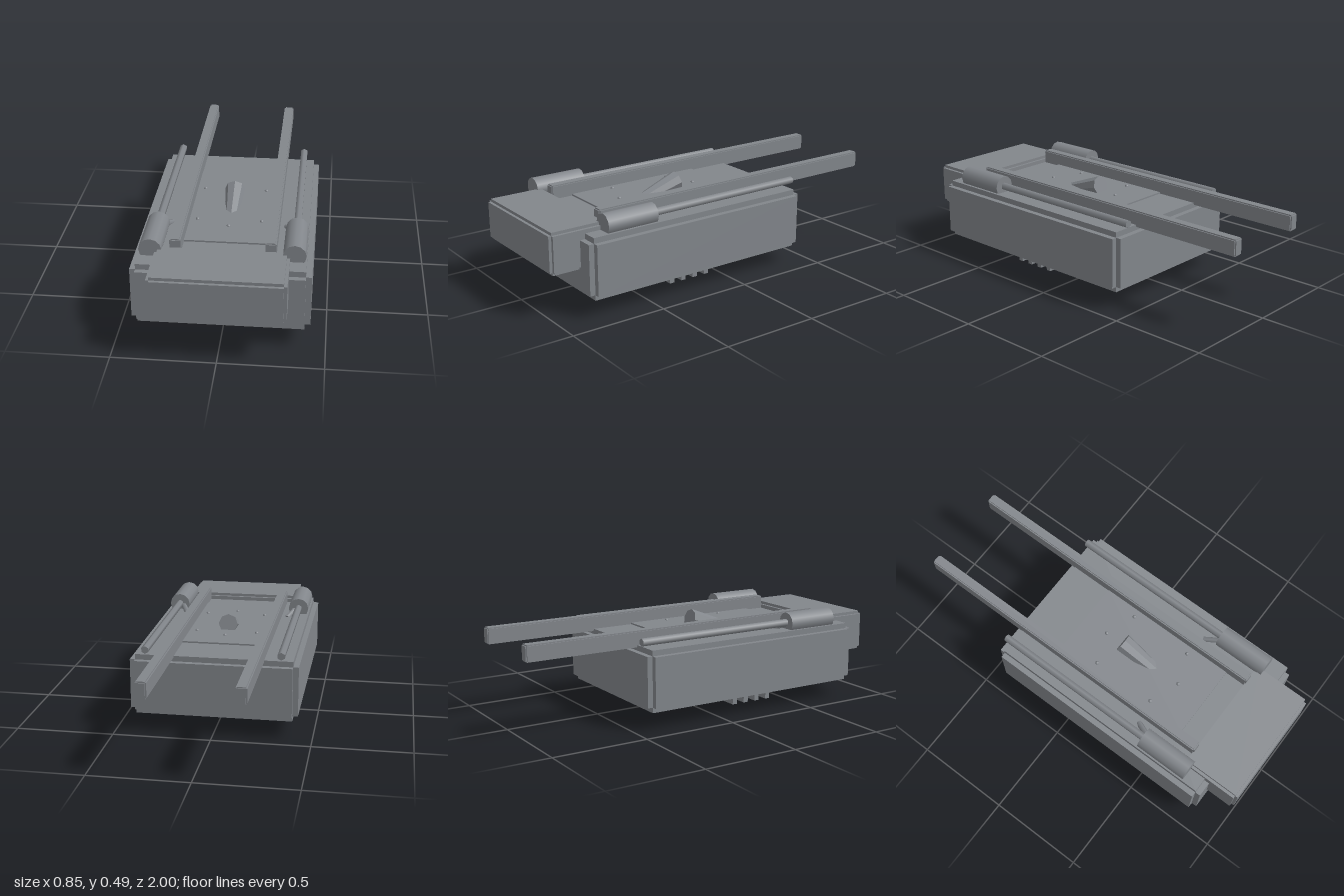
import * as THREE from 'three';

const material = new THREE.MeshStandardMaterial({ color: 0x82868b });

function add(parent, name, geometry, x = 0, y = 0, z = 0) {
  const mesh = new THREE.Mesh(geometry, material);
  mesh.name = name;
  mesh.position.set(x, y, z);
  parent.add(mesh);
  return mesh;
}

// Box given by its limits on each axis
function box(parent, name, [x0, x1], [y0, y1], [z0, z1]) {
  return add(parent, name, new THREE.BoxGeometry(x1 - x0, y1 - y0, z1 - z0),
    (x0 + x1) / 2, (y0 + y1) / 2, (z0 + z1) / 2);
}

// Three crossing boxes: a block whose edges are stepped inwards by s
function steppedBox(parent, name, xs, ys, zs, s) {
  const group = new THREE.Group();
  group.name = name;
  const inset = ([a, b]) => [a + s, b - s];
  box(group, name + 'Sides', xs, inset(ys), inset(zs));
  box(group, name + 'TopAndBottom', inset(xs), ys, inset(zs));
  box(group, name + 'Ends', inset(xs), inset(ys), zs);
  parent.add(group);
}

// Cylinder from a to b
function rod(parent, name, a, b, radius, sides) {
  const from = new THREE.Vector3(...a), dir = new THREE.Vector3(...b).sub(from);
  const mesh = add(parent, name, new THREE.CylinderGeometry(radius, radius, dir.length(), sides));
  mesh.position.copy(from).addScaledVector(dir, 0.5);
  mesh.quaternion.setFromUnitVectors(new THREE.Vector3(0, 1, 0), dir.normalize());
}

export function createModel() {
  const model = new THREE.Group();
  model.name = 'model';

  // Hull and the block projecting at the front
  steppedBox(model, 'hull', [-0.425, 0.425], [0.088, 0.401], [-0.433, 0.843], 0.028);
  steppedBox(model, 'noseBlock', [-0.319, 0.319], [0.223, 0.436], [0.69, 1], 0.015);

  // Raised deck panel with a ring of small studs
  box(model, 'deckPanel', [-0.2, 0.2], [0.39, 0.409], [-0.18, 0.58]);
  const studs = [[0, -0.04], [0, 0.42], [-0.16, 0.02], [0.16, 0.02], [-0.16, 0.36], [0.16, 0.36]];
  for (const [x, z] of studs)
    add(model, 'stud', new THREE.SphereGeometry(0.01, 16, 12), x, 0.408, z);

  // Rails, side canisters and their rods, mirrored left and right
  for (const s of [-1, 1]) {
    const xs = s > 0 ? [0.2, 0.253] : [-0.253, -0.2];
    steppedBox(model, 'rail', xs, [0.388, 0.472], [-1, 0.695], 0.006);
    rod(model, 'canister', [s * 0.34, 0.433, 0.45], [s * 0.34, 0.433, 0.73], 0.055, 12);
    rod(model, 'sideRod', [s * 0.34, 0.434, -0.433], [s * 0.34, 0.434, 0.46], 0.02, 6);
    rod(model, 'feedPipe', [s * 0.325, 0.428, 0.47], [s * 0.283, 0.395, 0.38], 0.015, 6);
  }

  // Tapered peg leaning out of the deck
  const pegGeometry = new THREE.CylinderGeometry(0.051, 0.03, 0.27, 8).toNonIndexed();
  pegGeometry.computeVertexNormals();
  const peg = add(model, 'deckPeg', pegGeometry, 0, 0.401, 0.194);
  peg.rotation.x = -Math.PI / 2 + 0.297;

  // Cooling slats and foot under the hull
  for (let i = 0; i < 4; i++) {
    const z = 0.125 + i * 0.07;
    box(model, 'slat', [-0.34, 0.34], [0.038, 0.1], [z - 0.013, z + 0.013]);
  }
  box(model, 'foot', [-0.07, 0.07], [0, 0.1], [-0.118, 0.023]);

  return model;
}
